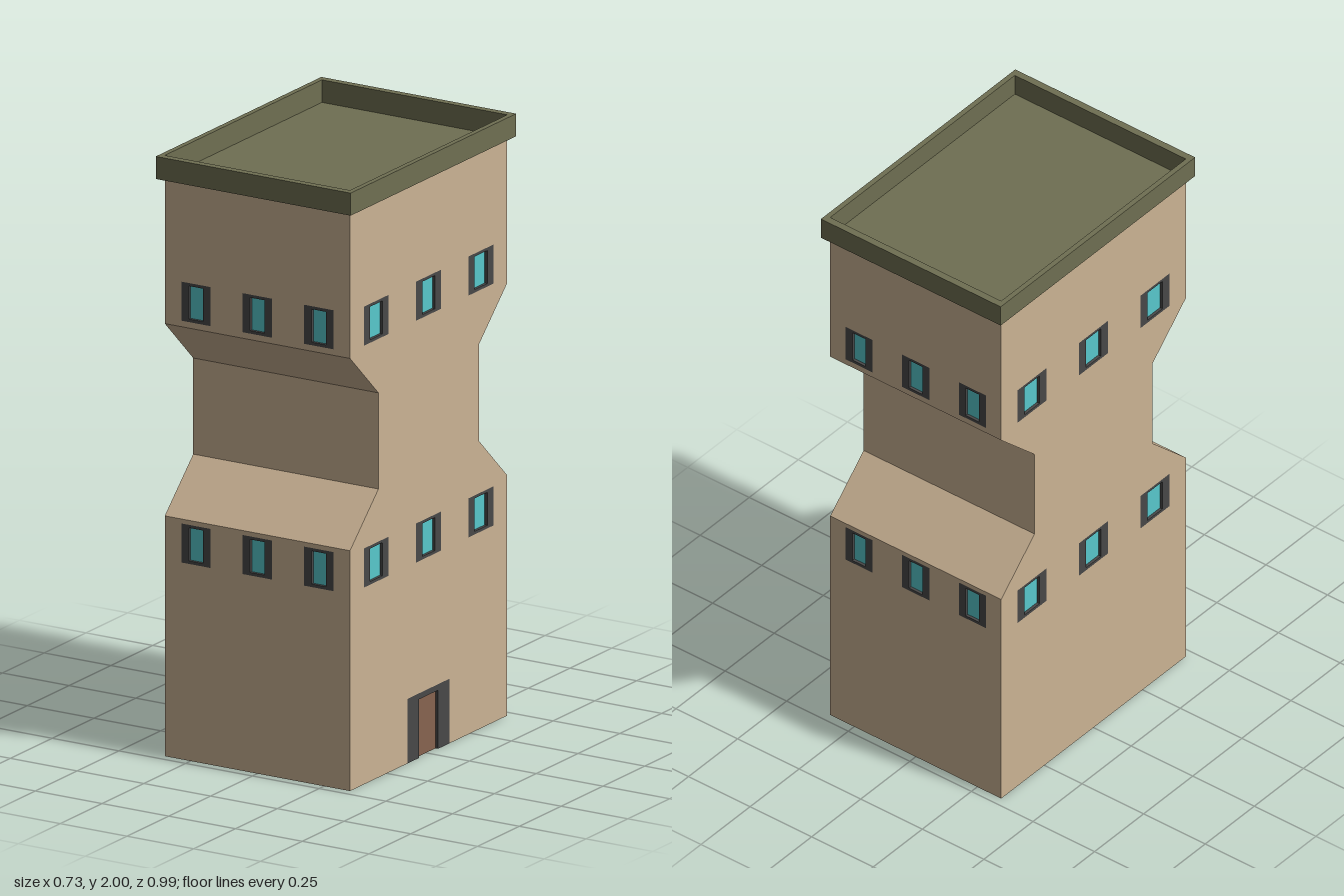
import * as THREE from 'three';

const mat = (color) => new THREE.MeshStandardMaterial({ color, side: THREE.DoubleSide });
const wallMat = mat(0xcbb394), roofMat = mat(0x6f6f52), frameMat = mat(0x484848);
const glassMat = mat(0x58c8cc), doorMat = mat(0x87634f);

// Half width, half depth, narrow-waist half depth and wall top
const HX = 0.347, HZ = 0.47, WAIST = 0.3, TOP = 1.925;
const FRAME_DEPTH = 0.015, RECESS = 0.01;
const WINDOW_ROWS = [0.72, 1.525];

const part = (name, geometry, material) => {
  const mesh = new THREE.Mesh(geometry, material);
  mesh.name = name;
  return mesh;
};
const polygon = (points) => new THREE.Shape(points.map(([x, y]) => new THREE.Vector2(x, y)));
const rect = (x, y, w, h) => polygon([
  [x - w / 2, y - h / 2], [x + w / 2, y - h / 2], [x + w / 2, y + h / 2], [x - w / 2, y + h / 2],
]);
const extrude = (shape, depth) => new THREE.ExtrudeGeometry(shape, { depth, bevelEnabled: false });

// Frame set flush into the wall with its pane recessed
function windowUnit(x, y, width, paneWidth) {
  const group = new THREE.Group();
  group.name = 'window';
  const ring = rect(0, 0, width, 0.13);
  ring.holes.push(rect(0, 0, paneWidth, 0.11));
  const frame = part('windowFrame', extrude(ring, FRAME_DEPTH), frameMat);
  frame.position.z = -FRAME_DEPTH;
  const pane = part('windowPane', new THREE.PlaneGeometry(paneWidth, 0.11), glassMat);
  pane.position.z = -RECESS;
  group.add(frame, pane);
  group.position.set(x, y, 0);
  return group;
}

// Doorway open at the ground, with a recessed door
function doorUnit() {
  const group = new THREE.Group();
  group.name = 'doorway';
  const surround = polygon([
    [-0.125, 0], [-0.057, 0], [-0.057, 0.195], [0.057, 0.195],
    [0.057, 0], [0.125, 0], [0.125, 0.215], [-0.125, 0.215],
  ]);
  const frame = part('doorFrame', extrude(surround, FRAME_DEPTH), frameMat);
  frame.position.z = -FRAME_DEPTH;
  const door = part('door', new THREE.PlaneGeometry(0.114, 0.195), doorMat);
  door.position.set(0, 0.0975, -RECESS);
  group.add(frame, door);
  return group;
}

// Wall from outline pieces, pierced by rows of three windows
function wall(name, outlines, spacing, width, paneWidth) {
  const group = new THREE.Group();
  group.name = name;
  for (const y of WINDOW_ROWS) {
    const outline = outlines.length > 1 ? outlines[WINDOW_ROWS.indexOf(y)] : outlines[0];
    for (const x of [-spacing, 0, spacing]) {
      outline.holes.push(rect(x, y, width, 0.13));
      group.add(windowUnit(x, y, width, paneWidth));
    }
  }
  outlines.forEach((o) => group.add(part('wallPanel', new THREE.ShapeGeometry(o), wallMat)));
  return group;
}

// Front or back: two upright panels joined by slopes around the waist
function endWall(name) {
  const group = wall(name, [rect(0, 0.4, HX * 2, 0.8), rect(0, (1.44 + TOP) / 2, HX * 2, TOP - 1.44)],
    0.23, 0.11, 0.054);
  const path = [[0, 0.8], [WAIST - HZ, 0.96], [WAIST - HZ, 1.28], [0, 1.44]];
  ['lowerSlope', 'waistPanel', 'upperSlope'].forEach((label, i) => {
    const [z0, y0] = path[i], [z1, y1] = path[i + 1];
    const panel = part(label, new THREE.PlaneGeometry(HX * 2, Math.hypot(z1 - z0, y1 - y0)), wallMat);
    panel.position.set(0, (y0 + y1) / 2, (z0 + z1) / 2);
    panel.rotation.x = Math.atan2(z1 - z0, y1 - y0);
    group.add(panel);
  });
  return group;
}

// Side: full waisted silhouette, with a notch where the door stands
function sideWall(name, hasDoor) {
  const half = [[HZ, 0], [HZ, 0.8], [WAIST, 0.96], [WAIST, 1.28], [HZ, 1.44], [HZ, TOP]];
  const notch = hasDoor ? [[-0.125, 0], [-0.125, 0.215], [0.125, 0.215], [0.125, 0]] : [];
  const mirrored = half.map(([x, y]) => [-x, y]).reverse();
  const group = wall(name, [polygon([...notch, ...half, ...mirrored])], 0.313, 0.148, 0.076);
  if (hasDoor) group.add(doorUnit());
  return group;
}

export function createModel() {
  const model = new THREE.Group();
  model.name = 'tower';

  const front = endWall('frontWall');
  front.position.z = HZ;
  const back = endWall('backWall');
  back.position.z = -HZ;
  back.rotation.y = Math.PI;
  const doorSide = sideWall('doorSideWall', true);
  doorSide.position.x = HX;
  doorSide.rotation.y = Math.PI / 2;
  const plainSide = sideWall('plainSideWall', false);
  plainSide.position.x = -HX;
  plainSide.rotation.y = -Math.PI / 2;
  model.add(front, back, doorSide, plainSide);

  // Overhanging parapet around a sunken flat roof
  const rim = rect(0, 0, 0.73, 0.99);
  rim.holes.push(rect(0, 0, HX * 2, HZ * 2));
  const parapet = part('parapet', extrude(rim, 2 - TOP), roofMat);
  parapet.rotation.x = -Math.PI / 2;
  parapet.position.y = TOP;
  const deck = part('roofDeck', new THREE.PlaneGeometry(HX * 2, HZ * 2), roofMat);
  deck.rotation.x = -Math.PI / 2;
  deck.position.y = TOP;
  model.add(parapet, deck);

  return model;
}
